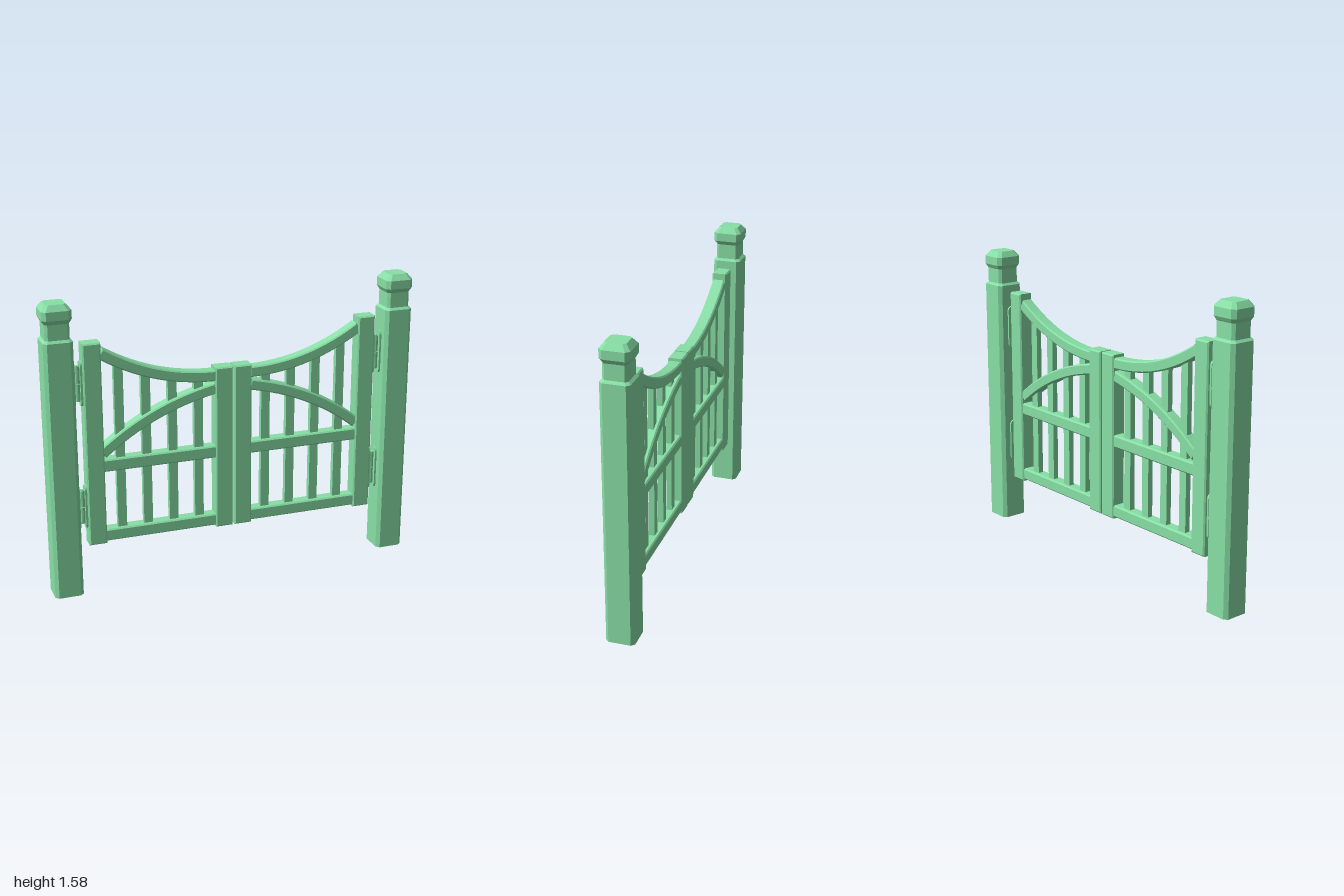
import * as THREE from 'three';

const material = new THREE.MeshStandardMaterial({ color: 0x88dfa6, flatShading: true, side: THREE.DoubleSide });

function addMesh(parent, geometry, name, x = 0, y = 0, z = 0) {
  const mesh = new THREE.Mesh(geometry, material);
  mesh.name = name;
  mesh.position.set(x, y, z);
  parent.add(mesh);
  return mesh;
}

// Flat outline given depth about z = 0, with chamfered edges that stay inside the outline
function slab(points, halfDepth, bevel) {
  const geometry = new THREE.ExtrudeGeometry(new THREE.Shape(points), {
    depth: 2 * (halfDepth - bevel), bevelEnabled: true, bevelSegments: 1,
    bevelSize: bevel, bevelThickness: bevel, bevelOffset: -bevel,
  });
  return geometry.translate(0, 0, -(halfDepth - bevel));
}

function board(x0, x1, y0, y1, halfDepth, bevel = 0.007) {
  return slab([[x0, y0], [x1, y0], [x1, y1], [x0, y1]].map(p => new THREE.Vector2(...p)), halfDepth, bevel);
}

// Curved rail: a constant-width band either side of a curve
function curvedRail(curve, width, halfDepth) {
  const lower = [], upper = [];
  for (let i = 0; i <= 20; i++) {
    const p = curve.getPoint(i / 20), t = curve.getTangent(i / 20);
    const normal = new THREE.Vector2(-t.y, t.x).multiplyScalar(width / 2);
    lower.push(p.clone().sub(normal));
    upper.unshift(p.clone().add(normal));
  }
  return slab([...lower, ...upper], halfDepth, 0.007);
}

// Post skin: chamfered squares [y, half width, corner chamfer] joined upwards, closed on top
function postGeometry(sections) {
  const positions = [], index = [];
  for (const [y, h, c] of sections) {
    const k = h - c;
    for (const [x, z] of [[h, -k], [h, k], [k, h], [-k, h], [-h, k], [-h, -k], [-k, -h], [k, -h]]) positions.push(x, y, z);
  }
  for (let i = 0; i < sections.length - 1; i++) {
    for (let j = 0; j < 8; j++) {
      const a = i * 8 + j, b = i * 8 + (j + 1) % 8;
      index.push(a, a + 8, b, b, a + 8, b + 8);
    }
  }
  const top = (sections.length - 1) * 8;
  for (let j = 1; j < 7; j++) index.push(top, top + j + 1, top + j);
  const geometry = new THREE.BufferGeometry();
  geometry.setAttribute('position', new THREE.Float32BufferAttribute(positions, 3));
  geometry.setIndex(index);
  const flat = geometry.toNonIndexed();
  flat.computeVertexNormals();
  return flat;
}

// Rounded hinge plate lying in the yz plane
function hingePlate(halfWidth, halfHeight, thickness) {
  const shape = new THREE.Shape();
  shape.absarc(0, halfHeight - halfWidth, halfWidth, 0, Math.PI);
  shape.absarc(0, halfWidth - halfHeight, halfWidth, Math.PI, 2 * Math.PI);
  return new THREE.ExtrudeGeometry(shape, { depth: thickness, bevelEnabled: false, curveSegments: 8 })
    .translate(0, 0, -thickness / 2).rotateY(Math.PI / 2);
}

function createHinge() {
  const hinge = new THREE.Group();
  hinge.name = 'hinge';
  addMesh(hinge, hingePlate(0.025, 0.12, 0.012), 'postPlate', 0.844);
  addMesh(hinge, hingePlate(0.025, 0.12, 0.012), 'gatePlate', 0.805);
  for (const s of [-1, 1]) {
    addMesh(hinge, new THREE.CylinderGeometry(0.016, 0.016, 0.09, 12), 'knuckle', 0.823, s * 0.0465);
  }
  addMesh(hinge, new THREE.CylinderGeometry(0.01, 0.01, 0.19, 10), 'hingePin', 0.823);
  return hinge;
}

function createSide() {
  const side = new THREE.Group();

  // Post with neck and chamfered cap
  addMesh(side, postGeometry([
    [0, 0.076, 0.018], [1.385, 0.076, 0.018], [1.397, 0.063, 0.014], [1.478, 0.063, 0.014],
    [1.482, 0.066, 0.016], [1.5, 0.076, 0.02], [1.545, 0.076, 0.02], [1.575, 0.052, 0.014],
  ]), 'post', 0.924);

  // Gate leaf frame
  const leaf = new THREE.Group();
  leaf.name = 'gateLeaf';
  side.add(leaf);
  addMesh(leaf, board(0.705, 0.8, 0.26, 1.357, 0.041), 'hingeStile');
  addMesh(leaf, board(0.005, 0.1, 0.26, 1.16, 0.041), 'meetingStile');
  addMesh(leaf, board(0.09, 0.715, 0.27, 0.335, 0.034), 'bottomRail');
  addMesh(leaf, board(0.09, 0.715, 0.66, 0.727, 0.034), 'middleRail');

  // Curved rails
  const v = (x, y) => new THREE.Vector2(x, y);
  addMesh(leaf, curvedRail(new THREE.QuadraticBezierCurve(v(0.095, 1.115), v(0.425, 1.115), v(0.71, 1.3)), 0.058, 0.034), 'topRail');
  addMesh(leaf, curvedRail(new THREE.QuadraticBezierCurve(v(0.095, 1.046), v(0.44, 0.98), v(0.71, 0.76)), 0.058, 0.034), 'archBrace');

  // Balusters ending inside the top rail
  for (const [x, top] of [[0.187, 1.11], [0.329, 1.13], [0.471, 1.17], [0.613, 1.23]]) {
    addMesh(leaf, new THREE.BoxGeometry(0.048, top - 0.31, 0.03), 'baluster', x, (top + 0.31) / 2);
  }

  for (const y of [1.145, 0.472]) {
    const hinge = createHinge();
    hinge.position.y = y;
    side.add(hinge);
  }
  return side;
}

export function createModel() {
  const model = new THREE.Group();
  model.name = 'gardenGate';
  const left = createSide();
  left.name = 'leftSide';
  const right = createSide();
  right.name = 'rightSide';
  right.rotation.y = Math.PI;
  model.add(left, right);
  return model;
}
